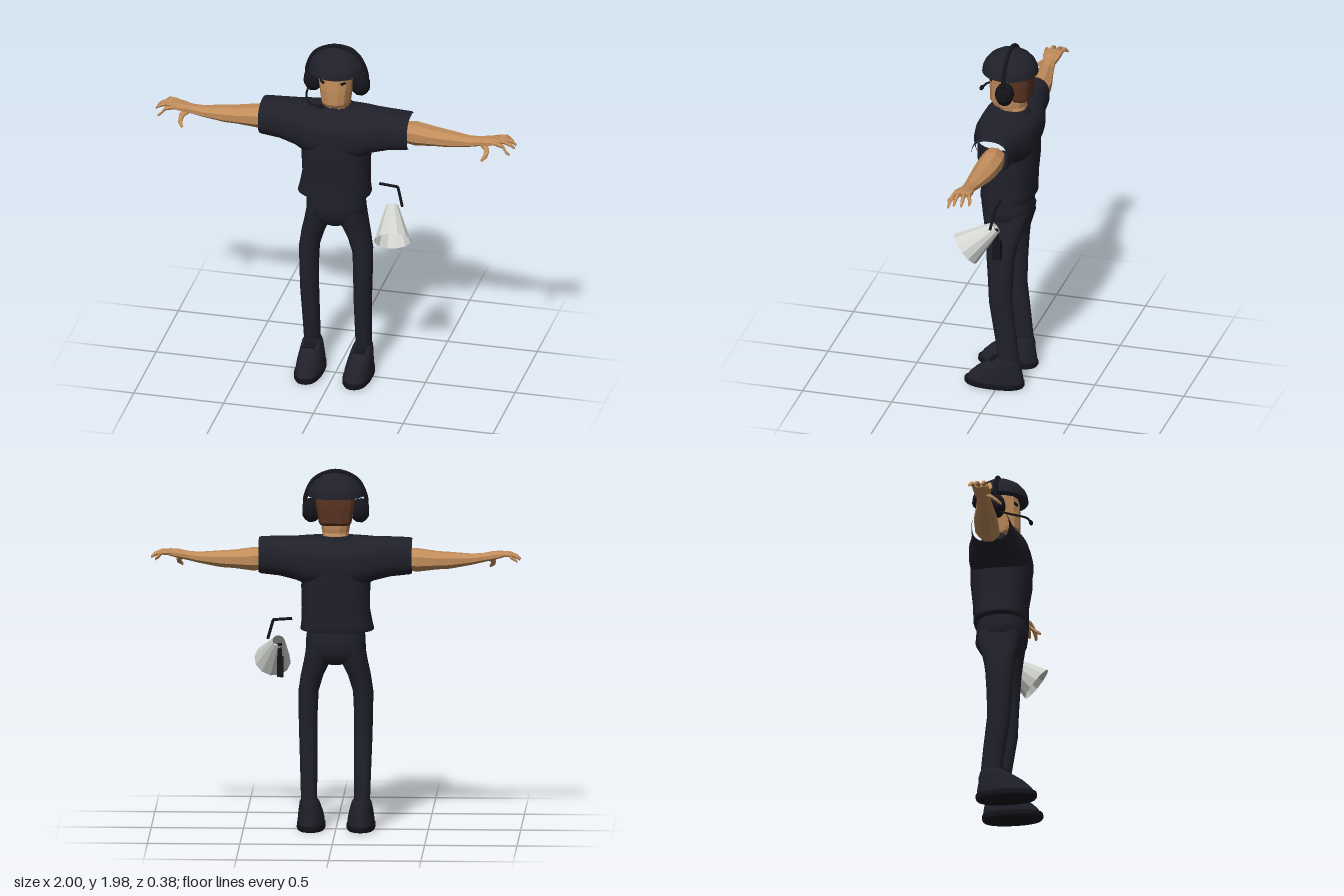
import * as THREE from 'three';

const mat = (name, color) => {
  const m = new THREE.MeshStandardMaterial({ color });
  m.name = name;
  return m;
};

// Loft of superellipse rings along an axis. Ring: [t, cu, cv, ru, rv];
// (t,u,v) is (y,z,x), (x,y,z) or (z,x,y). Rings go up the axis.
const MAP = {
  y: (t, u, v) => [v, t, u],
  x: (t, u, v) => [t, u, v],
  z: (t, u, v) => [u, v, t],
};
function loft(axis, rings, { n = 20, p = 2, caps = true, flat = false, caps0 = caps, caps1 = caps } = {}) {
  const pos = [], idx = [], e = 2 / p;
  const pw = (c) => Math.sign(c) * Math.pow(Math.abs(c), e);
  const addRing = ([t, cu, cv, ru, rv]) => {
    for (let i = 0; i < n; i++) {
      const a = ((i + 0.5) / n) * Math.PI * 2;
      pos.push(...MAP[axis](t, cu + ru * pw(Math.cos(a)), cv + rv * pw(Math.sin(a))));
    }
  };
  rings.forEach(addRing);
  for (let r = 0; r < rings.length - 1; r++) {
    for (let i = 0; i < n; i++) {
      const j = (i + 1) % n, a = r * n + i, b = r * n + j;
      idx.push(a, b, b + n, a, b + n, a + n);
    }
  }
  const cap = (ring, up) => {
    const s = pos.length / 3;
    addRing(ring);
    pos.push(...MAP[axis](ring[0], ring[1], ring[2]));
    for (let i = 0; i < n; i++) {
      const j = (i + 1) % n;
      idx.push(s + n, s + (up ? i : j), s + (up ? j : i));
    }
  };
  if (caps0) cap(rings[0], false);
  if (caps1) cap(rings[rings.length - 1], true);
  let g = new THREE.BufferGeometry();
  g.setAttribute('position', new THREE.Float32BufferAttribute(pos, 3));
  g.setIndex(idx);
  if (flat) g = g.toNonIndexed();
  g.computeVertexNormals();
  return g;
}

// Mirror across x, keeping the faces outward
function mirrored(geo) {
  const g = geo.index ? geo.toNonIndexed() : geo.clone();
  for (const key of ['position', 'normal']) {
    const a = g.getAttribute(key);
    for (let i = 0; i < a.count; i += 3) {
      const v = [0, 1, 2].map((k) => new THREE.Vector3().fromBufferAttribute(a, i + k));
      [v[0], v[2], v[1]].forEach((q, k) => a.setXYZ(i + k, -q.x, q.y, q.z));
    }
  }
  return g;
}

const tube = (pts, r, seg = 32, straight = false) => {
  const v = pts.map((q) => new THREE.Vector3(...q));
  const curve = straight ? new THREE.CatmullRomCurve3(v, false, 'catmullrom', 0.01) : new THREE.CatmullRomCurve3(v);
  return new THREE.TubeGeometry(curve, seg, r, 8);
};

export function createModel() {
  const model = new THREE.Group();
  const cloth = mat('dark cloth', 0x20202b);
  const black = mat('black plastic', 0x14141b);
  const skin = mat('skin', 0xc18c5a);
  const hairMat = mat('brown hair', 0x5a3422);
  const grey = mat('light grey', 0xd2d5d0);
  grey.side = THREE.DoubleSide;

  const add = (name, geo, m) => {
    const mesh = new THREE.Mesh(geo, m);
    mesh.name = name;
    model.add(mesh);
    return mesh;
  };
  const pair = (name, geo, m) => {
    add('left ' + name, geo, m);
    add('right ' + name, mirrored(geo), m);
  };

  // Shirt: body, sleeves running across with open ends, collar
  add('shirt body', loft('y', [
    [1.10, -0.018, -0.008, 0.140, 0.192], [1.105, -0.018, -0.008, 0.148, 0.2], [1.14, -0.02, -0.006, 0.148, 0.193],
    [1.22, -0.022, 0, 0.150, 0.184], [1.34, -0.018, 0, 0.166, 0.187], [1.44, -0.02, 0, 0.166, 0.185],
  ], { n: 32, p: 2.4, caps1: false }), cloth);
  const half = [
    [0, 1.475, -0.02, 0.143, 0.166], [0.1, 1.477, -0.02, 0.138, 0.164], [0.16, 1.482, -0.022, 0.13, 0.155],
    [0.21, 1.492, -0.025, 0.117, 0.136], [0.3, 1.503, -0.026, 0.106, 0.114], [0.4, 1.507, -0.026, 0.099, 0.106],
    [0.415, 1.507, -0.026, 0.094, 0.101],
  ];
  const other = half.slice(1).reverse().map(([t, ...r]) => [-t, ...r]);
  add('shirt shoulders and sleeves', loft('x', [...other, ...half], { n: 32, p: 2.5, caps: false }), cloth);
  add('collar', loft('y', [
    [1.57, -0.045, 0, 0.1, 0.11], [1.61, -0.045, 0, 0.082, 0.09], [1.622, -0.045, 0, 0.076, 0.083],
  ]), cloth);

  // Trousers
  add('hips', loft('y', [
    [0.915, -0.02, 0, 0.07, 0.05], [0.94, -0.02, 0, 0.11, 0.11], [0.99, -0.02, 0, 0.138, 0.163],
    [1.05, -0.013, 0, 0.14, 0.161], [1.12, -0.012, 0, 0.135, 0.153],
  ], { n: 28, p: 2.3 }), cloth);
  pair('trouser leg', loft('y', [
    [0.14, -0.06, 0.143, 0.056, 0.043], [0.3, -0.04, 0.145, 0.06, 0.046], [0.5, -0.013, 0.148, 0.064, 0.05],
    [0.65, -0.012, 0.15, 0.069, 0.052], [0.76, -0.012, 0.148, 0.076, 0.055], [0.85, -0.014, 0.128, 0.087, 0.062],
    [0.93, -0.02, 0.1, 0.108, 0.073], [1.02, -0.02, 0.085, 0.125, 0.072],
  ], { p: 2.2 }), cloth);

  // Shoes
  pair('shoe sole', loft('y', [
    [0, 0.025, 0.135, 0.16, 0.073], [0.01, 0.025, 0.135, 0.167, 0.078], [0.032, 0.025, 0.135, 0.166, 0.077],
  ], { n: 28, p: 2.3 }), black);
  pair('shoe upper', loft('y', [
    [0.03, 0.023, 0.135, 0.16, 0.073], [0.06, 0.015, 0.135, 0.149, 0.072], [0.1, -0.002, 0.137, 0.125, 0.066],
    [0.135, -0.027, 0.139, 0.098, 0.059], [0.16, -0.045, 0.141, 0.073, 0.053], [0.172, -0.05, 0.141, 0.062, 0.046],
  ], { n: 28, p: 2.2 }), cloth);
  pair('shoe laces', new THREE.BoxGeometry(0.06, 0.012, 0.04).rotateX(0.5).translate(0.14, 0.162, 0.026), black);

  // Arms and hands
  pair('arm', loft('x', [
    [0.36, 1.49, -0.04, 0.055, 0.06], [0.44, 1.487, -0.042, 0.066, 0.068], [0.55, 1.485, -0.036, 0.05, 0.066],
    [0.62, 1.484, -0.03, 0.046, 0.058], [0.74, 1.489, -0.018, 0.03, 0.042], [0.8, 1.498, -0.014, 0.025, 0.037],
    [0.85, 1.508, -0.012, 0.024, 0.05], [0.9, 1.516, -0.012, 0.018, 0.054], [0.915, 1.516, -0.012, 0.012, 0.05],
  ], { n: 8, flat: true }), skin);
  [[-0.05, -0.07, 0.975], [-0.024, -0.033, 0.998], [0.002, 0.008, 1.0], [0.028, 0.045, 0.98]].forEach(([z0, z1, tip], i) => {
    const drop = i === 3 ? 0.025 : 0;
    pair('finger ' + (i + 1), loft('x', [
      [0.89, 1.518, z0, 0.013, 0.013], [0.94, 1.52 - drop * 0.5, (z0 + z1) / 2, 0.012, 0.012],
      [tip - 0.02, 1.505 - drop, z1, 0.01, 0.01], [tip, 1.49 - drop, z1, 0.006, 0.006],
    ], { n: 6, flat: true }), skin);
  });
  pair('thumb', loft('z', [
    [0.0, 0.82, 1.495, 0.026, 0.016], [0.035, 0.85, 1.475, 0.016, 0.014],
    [0.065, 0.85, 1.452, 0.013, 0.013], [0.088, 0.835, 1.435, 0.008, 0.008],
  ], { n: 6, flat: true }), skin);

  // Head, hair, brows
  add('neck and head', loft('y', [
    [1.56, -0.04, 0, 0.07, 0.07], [1.625, -0.042, 0, 0.074, 0.071], [1.64, -0.022, 0, 0.09, 0.074],
    [1.662, -0.017, 0, 0.1, 0.078], [1.74, -0.02, 0, 0.105, 0.088], [1.85, -0.025, 0, 0.103, 0.102],
  ], { n: 12, p: 2.6, flat: true }), skin);
  add('hair', loft('y', [
    [1.685, -0.088, 0, 0.045, 0.08], [1.7, -0.088, 0, 0.058, 0.09], [1.78, -0.085, 0, 0.068, 0.104], [1.85, -0.082, 0, 0.072, 0.11],
  ], { n: 12, p: 3.2, flat: true }), hairMat);
  pair('eye', new THREE.BoxGeometry(0.028, 0.014, 0.009).rotateZ(0.25).rotateY(0.6).translate(0.058, 1.795, 0.066), black);

  // Cap
  const dome = [0, 0.15, 0.3, 0.5, 0.7, 0.85, 0.96, 1].map((k) => {
    const a = k * Math.PI / 2, r = Math.max(Math.cos(a), 0.001);
    return [1.835 + 0.128 * Math.sin(a), -0.025, 0, 0.153 * r, 0.152 * r];
  });
  add('cap', loft('y', dome, { n: 32 }), cloth);

  // Headset
  add('headband', tube([
    [-0.165, 1.76, -0.03], [-0.163, 1.83, -0.03], [-0.115, 1.925, -0.03], [0, 1.97, -0.03],
    [0.115, 1.925, -0.03], [0.163, 1.83, -0.03], [0.165, 1.76, -0.03],
  ], 0.012, 48), black);
  pair('ear cup', loft('x', [
    [0.095, 1.755, -0.03, 0.05, 0.036], [0.115, 1.755, -0.03, 0.064, 0.048], [0.145, 1.755, -0.03, 0.066, 0.05],
    [0.165, 1.755, -0.03, 0.052, 0.038], [0.18, 1.755, -0.03, 0.03, 0.022],
  ]), black);
  add('microphone boom', tube([
    [-0.155, 1.715, -0.02], [-0.15, 1.695, 0.05], [-0.11, 1.687, 0.13], [-0.05, 1.686, 0.148],
  ], 0.006), black);
  add('microphone', new THREE.SphereGeometry(0.013, 12, 8).scale(1.9, 0.9, 0.9).translate(-0.045, 1.686, 0.148), black);

  // Megaphone: open cone, grip and bent strap bar
  const small = new THREE.Vector3(0.308, 1.035, -0.03), rim = new THREE.Vector3(0.348, 0.905, 0.128);
  const axis = small.clone().sub(rim);
  const horn = add('megaphone horn', new THREE.CylinderGeometry(0.034, 0.1, axis.length(), 12, 1, true).toNonIndexed(), grey);
  horn.geometry.computeVertexNormals();
  horn.position.copy(small).add(rim).multiplyScalar(0.5);
  horn.quaternion.setFromUnitVectors(new THREE.Vector3(0, 1, 0), axis.normalize());
  add('megaphone grip', new THREE.BoxGeometry(0.034, 0.11, 0.045).translate(0.3, 0.895, -0.035), black);
  add('megaphone grip mount', new THREE.BoxGeometry(0.022, 0.09, 0.025).translate(0.303, 0.975, -0.03), black);
  add('megaphone bar', tube([
    [0.235, 1.16, -0.035], [0.338, 1.152, -0.035], [0.368, 1.045, -0.015],
  ], 0.008, 40, true), black);

  return model;
}
